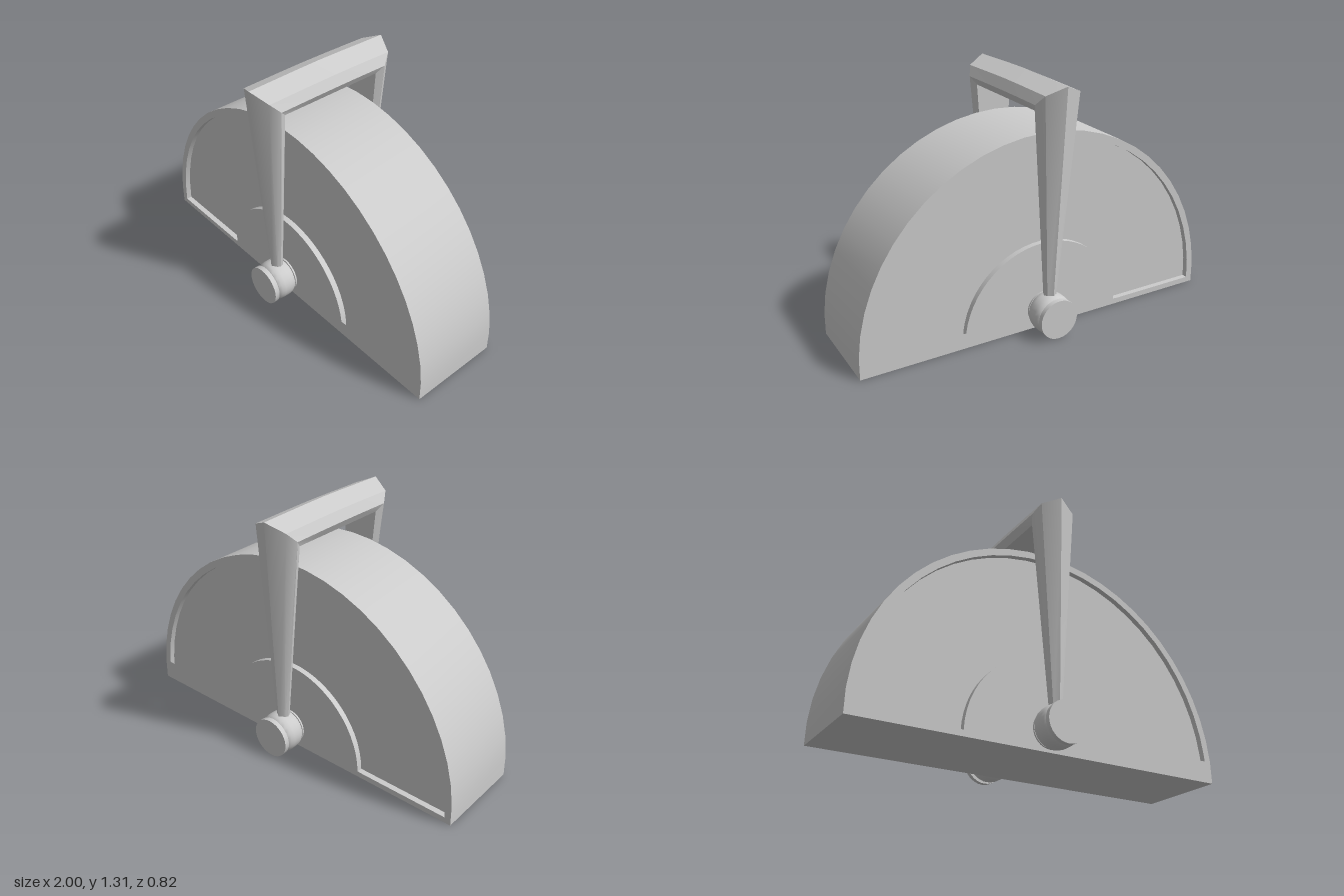
import * as THREE from 'three';
import { toCreasedNormals } from 'three/addons/utils/BufferGeometryUtils.js';

const material = new THREE.MeshStandardMaterial({ color: 0xcccccc });

function part(name, geometry, crease = 0.6) {
  const mesh = new THREE.Mesh(toCreasedNormals(geometry, crease), material);
  mesh.name = name;
  return mesh;
}

function extrude(shape, depth) {
  const geometry = new THREE.ExtrudeGeometry(shape, { depth, bevelEnabled: false, curveSegments: 14 });
  return geometry.translate(0, 0, -depth / 2);
}

// Arc of radius r about (0, cy), starting and ending at height y
function arc(shape, cy, r, y, clockwise = false) {
  const a = Math.asin((y - cy) / r);
  if (clockwise) shape.absarc(0, cy, r, Math.PI - a, a, true);
  else shape.absarc(0, cy, r, a, Math.PI - a, false);
  return shape;
}

// Half-ring outline of the sunken side panels
function recess(target) {
  arc(target, 0.044, 0.965, 0.03);
  arc(target, 0.02, 0.45, 0.03, true);
  target.closePath();
  return target;
}

// Handle: a faceted section swept up one leg, across the top and down the other
function handleGeometry() {
  // x across, share of the depth from the inner face outward
  const section = [[0, 1], [0.095, 0.67], [0.122, 0.3], [0.1, 0], [-0.1, 0], [-0.122, 0.3], [-0.095, 0.67]];
  const foot = (side) => ([x, d]) => [x * 0.24 - 0.002, 0.15, side * (0.285 + d * 0.05)];
  const corner = (side) => ([x, d]) => [x - 0.016, 1.175 + d * 0.128, side * (0.285 + d * 0.125)];
  const bar = (z, rise) => ([x, d]) => [x - 0.016, 1.175 + d * (0.128 + rise), z];
  const stations = [foot(1), corner(1), bar(0.14, 0.006), bar(0, 0.008), bar(-0.14, 0.006), corner(-1), foot(-1)];

  const positions = stations.flatMap((place) => section.flatMap(place));
  const index = [];
  const n = section.length;
  for (let i = 0; i < stations.length - 1; i++) {
    for (let j = 0; j < n; j++) {
      const a = i * n + j, b = i * n + (j + 1) % n;
      index.push(a, b, b + n, a, b + n, a + n);
    }
  }
  const geometry = new THREE.BufferGeometry();
  geometry.setAttribute('position', new THREE.Float32BufferAttribute(positions, 3));
  geometry.setIndex(index);
  geometry.computeVertexNormals();
  return geometry;
}

// Pivot knob: washer, rounded barrel, neck and flat cap
function pivotGeometry() {
  const profile = [
    [0, 0], [0.092, 0], [0.092, 0.012], [0.084, 0.012], [0.094, 0.018], [0.103, 0.032], [0.107, 0.052],
    [0.107, 0.088], [0.103, 0.108], [0.094, 0.122], [0.088, 0.126], [0.088, 0.132],
    [0.105, 0.132], [0.105, 0.158], [0, 0.158],
  ].map(([r, h]) => new THREE.Vector2(r, h));
  return new THREE.LatheGeometry(profile, 32).rotateX(Math.PI / 2);
}

export function createModel() {
  const model = new THREE.Group();
  model.name = 'halfDrumWithHandle';

  // Half drum with a raised rim and hub
  const drum = arc(new THREE.Shape(), 0.044, 1.001, 0);
  drum.closePath();
  drum.holes.push(recess(new THREE.Path()));
  model.add(part('drumBody', extrude(drum, 0.49)));

  // Sunken panels on both sides
  model.add(part('sidePanels', extrude(recess(new THREE.Shape()), 0.43)));

  model.add(part('handle', handleGeometry()));

  // One pivot on each side
  for (const [name, turn] of [['frontPivot', 0], ['backPivot', Math.PI]]) {
    const pivot = part(name, pivotGeometry());
    pivot.position.set(0, 0.107, turn ? -0.242 : 0.242);
    pivot.rotation.y = turn;
    model.add(pivot);
  }
  return model;
}
